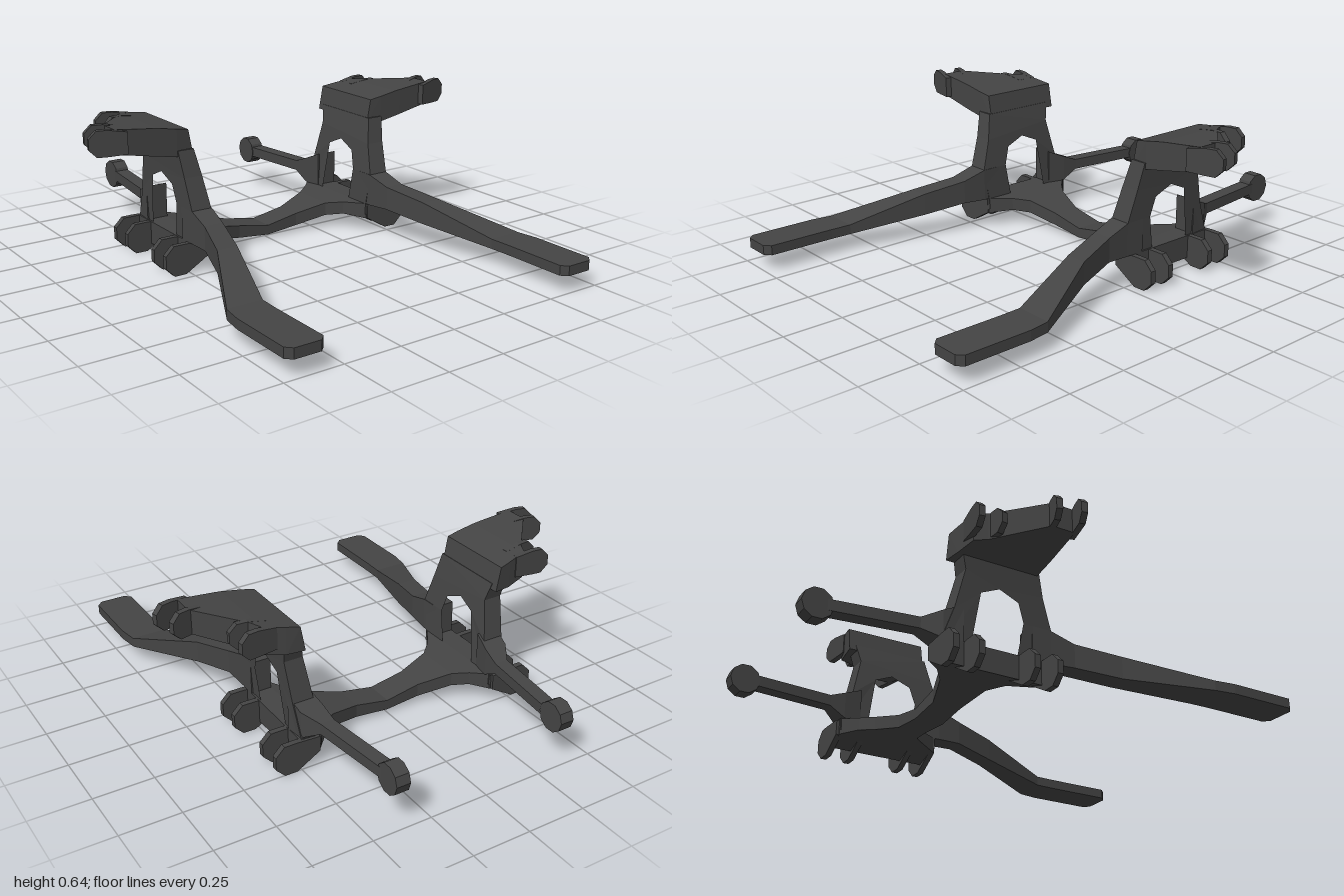
import * as THREE from 'three';

const material = new THREE.MeshStandardMaterial({ color: 0x444444, flatShading: true });

// Swap two corners of every triangle in a non-indexed geometry
function flip(geo) {
  const p = geo.attributes.position;
  const a = new THREE.Vector3(), b = new THREE.Vector3();
  for (let i = 0; i < p.count; i += 3) {
    a.fromBufferAttribute(p, i + 1);
    b.fromBufferAttribute(p, i + 2);
    p.setXYZ(i + 1, b.x, b.y, b.z);
    p.setXYZ(i + 2, a.x, a.y, a.z);
  }
  geo.computeVertexNormals();
  return geo;
}

// Closed solid through convex cross-sections, faces turned outward
function loft(sections) {
  const pos = [], n = sections[0].length;
  const tri = (...pts) => pts.forEach((q) => pos.push(...q));
  for (let s = 0; s < sections.length - 1; s++) {
    const A = sections[s], B = sections[s + 1];
    for (let i = 0; i < n; i++) {
      const j = (i + 1) % n;
      tri(A[i], A[j], B[j]);
      tri(A[i], B[j], B[i]);
    }
  }
  const first = sections[0], last = sections[sections.length - 1];
  for (let i = 1; i < n - 1; i++) {
    tri(first[0], first[i + 1], first[i]);
    tri(last[0], last[i], last[i + 1]);
  }
  const geo = new THREE.BufferGeometry();
  geo.setAttribute('position', new THREE.Float32BufferAttribute(pos, 3));
  geo.computeVertexNormals();
  let volume = 0;
  const v = [0, 1, 2].map(() => new THREE.Vector3());
  for (let i = 0; i < pos.length / 3; i += 3) {
    v.forEach((q, k) => q.fromBufferAttribute(geo.attributes.position, i + k));
    volume += v[0].dot(v[1].clone().cross(v[2]));
  }
  return volume < 0 ? flip(geo) : geo;
}

// Rectangular sections along z: [z, x0, x1, y0, y1]
const loftZ = (rows) => loft(rows.map(([z, x0, x1, y0, y1]) =>
  [[x0, y0, z], [x1, y0, z], [x1, y1, z], [x0, y1, z]]));

// Rectangular sections along x: [x, z0, z1, y0, y1, x of the lower edge]
const loftX = (rows) => loft(rows.map(([x, z0, z1, y0, y1, xb = x]) =>
  [[xb, y0, z0], [xb, y0, z1], [x, y1, z1], [x, y1, z0]]));

// Thin octagonal pad with a neck reaching inward (towards -x)
function hook(x, y, z, r, neck, low, high, turn) {
  const R = r / Math.cos(Math.PI / 8), t = 0.025;
  const pts = [-112.5, -67.5, -22.5, 22.5, 67.5, 112.5].map((d) => {
    const a = THREE.MathUtils.degToRad(d);
    return new THREE.Vector2(R * Math.cos(a), R * Math.sin(a));
  });
  pts.push(new THREE.Vector2(-neck, high), new THREE.Vector2(-neck, low));
  const geo = new THREE.ExtrudeGeometry(new THREE.Shape(pts), { depth: t, bevelEnabled: false });
  return geo.translate(0, 0, -t / 2).rotateY(turn).translate(x, y, z);
}

// Piecewise linear lookup in rows of [key, value]
function lookup(rows, k) {
  for (let i = 1; i < rows.length; i++) {
    const [k0, v0] = rows[i - 1], [k1, v1] = rows[i];
    if (k <= k1 || i === rows.length - 1) return v0 + (v1 - v0) * (k - k0) / (k1 - k0);
  }
}

// Upright side frame with a window, leaning outward towards the top
function sideFrame() {
  const vec = ([z, y]) => new THREE.Vector2(-z, y);
  const shape = new THREE.Shape([[-0.04, 0.08], [-0.04, 0.12], [-0.015, 0.27], [-0.055, 0.40],
    [-0.08, 0.51], [-0.42, 0.51], [-0.40, 0.43], [-0.44, 0.26], [-0.49, 0.12], [-0.49, 0.08]].map(vec));
  shape.holes.push(new THREE.Path([[-0.165, 0.125], [-0.14, 0.27], [-0.165, 0.35], [-0.25, 0.385],
    [-0.33, 0.35], [-0.365, 0.125]].map(vec)));
  const geo = new THREE.ExtrudeGeometry(shape, { depth: 1, bevelEnabled: false }).rotateY(Math.PI / 2);
  const inner = [[0.08, 0.405], [0.25, 0.408], [0.43, 0.43], [0.59, 0.465]];
  const outer = [[0.08, 0.49], [0.27, 0.50], [0.40, 0.508], [0.51, 0.52]];
  const p = geo.attributes.position;
  for (let i = 0; i < p.count; i++) {
    const y = p.getY(i);
    p.setX(i, THREE.MathUtils.lerp(lookup(inner, y), lookup(outer, y), p.getX(i)));
  }
  geo.computeVertexNormals();
  return geo;
}

export function createModel() {
  const model = new THREE.Group();
  model.name = 'bracketFrame';
  const add = (name, geo) => {
    const mesh = new THREE.Mesh(geo, material);
    mesh.name = name;
    model.add(mesh);
  };
  const addPair = (name, geo) => {
    add(name + 'Left', geo);
    add(name + 'Right', flip(geo.clone().scale(-1, 1, 1)));
  };

  // Sagging crossbar that flares into the side rails
  const half = [[0.15, -0.34, -0.217, 0.03, 0.085], [0.29, -0.385, -0.185, 0.06, 0.117],
    [0.35, -0.43, -0.13, 0.07, 0.125], [0.41, -0.49, -0.04, 0.06, 0.13], [0.50, -0.49, -0.04, 0.03, 0.13]];
  add('crossbar', loftX([
    ...half.slice().reverse().map(([x, ...r]) => [-x, ...r]),
    [0, -0.34, -0.217, 0.015, 0.058], ...half]));

  addPair('sideFrame', sideFrame());

  // Tapering plate on top of the side frame
  addPair('topPlate', loftX([
    [0.465, -0.45, -0.09, 0.485, 0.59, 0.445], [0.52, -0.44, -0.085, 0.485, 0.60],
    [0.605, -0.42, -0.085, 0.50, 0.615], [0.63, -0.37, -0.085, 0.505, 0.618],
    [0.79, -0.19, -0.09, 0.535, 0.635]]));

  // Upper pads: x, z, height and turn
  [[0.84, -0.10, 0.586, 0.25], [0.815, -0.193, 0.586, 0.25],
    [0.655, -0.35, 0.567, -0.09], [0.655, -0.435, 0.567, 0.12]].forEach(([x, z, y, turn], i) =>
    addPair('upperPad' + (i + 1), hook(x, y, z, 0.053, 0.10, -0.05, 0.04, turn)));

  // Lower pads along the rail
  [-0.05, -0.15, -0.385, -0.49].forEach((z, i) =>
    addPair('lowerPad' + (i + 1), hook(0.547, 0.065, z, 0.065, 0.13, -0.005, 0.06, 0)));

  // Long front arm, flattening into a broad tip
  addPair('frontArm', loftZ([
    [-0.10, 0.41, 0.50, 0.13, 0.27], [-0.015, 0.408, 0.50, 0.13, 0.27], [0.09, 0.42, 0.505, 0.135, 0.237],
    [0.275, 0.47, 0.56, 0.11, 0.205], [0.60, 0.567, 0.72, 0.073, 0.115], [0.69, 0.57, 0.733, 0.073, 0.115],
    [0.975, 0.57, 0.733, 0.073, 0.115], [1.0, 0.595, 0.708, 0.073, 0.115]]));

  // Slim rear arm with a round end
  addPair('rearArm', loftZ([
    [-0.40, 0.405, 0.50, 0.12, 0.28], [-0.48, 0.39, 0.49, 0.13, 0.245], [-0.55, 0.385, 0.445, 0.17, 0.217],
    [-0.90, 0.345, 0.405, 0.17, 0.215]]));
  addPair('rearKnob', new THREE.CylinderGeometry(0.063, 0.063, 0.06, 10).toNonIndexed()
    .rotateZ(Math.PI / 2).translate(0.375, 0.19, -0.937));

  return model;
}
